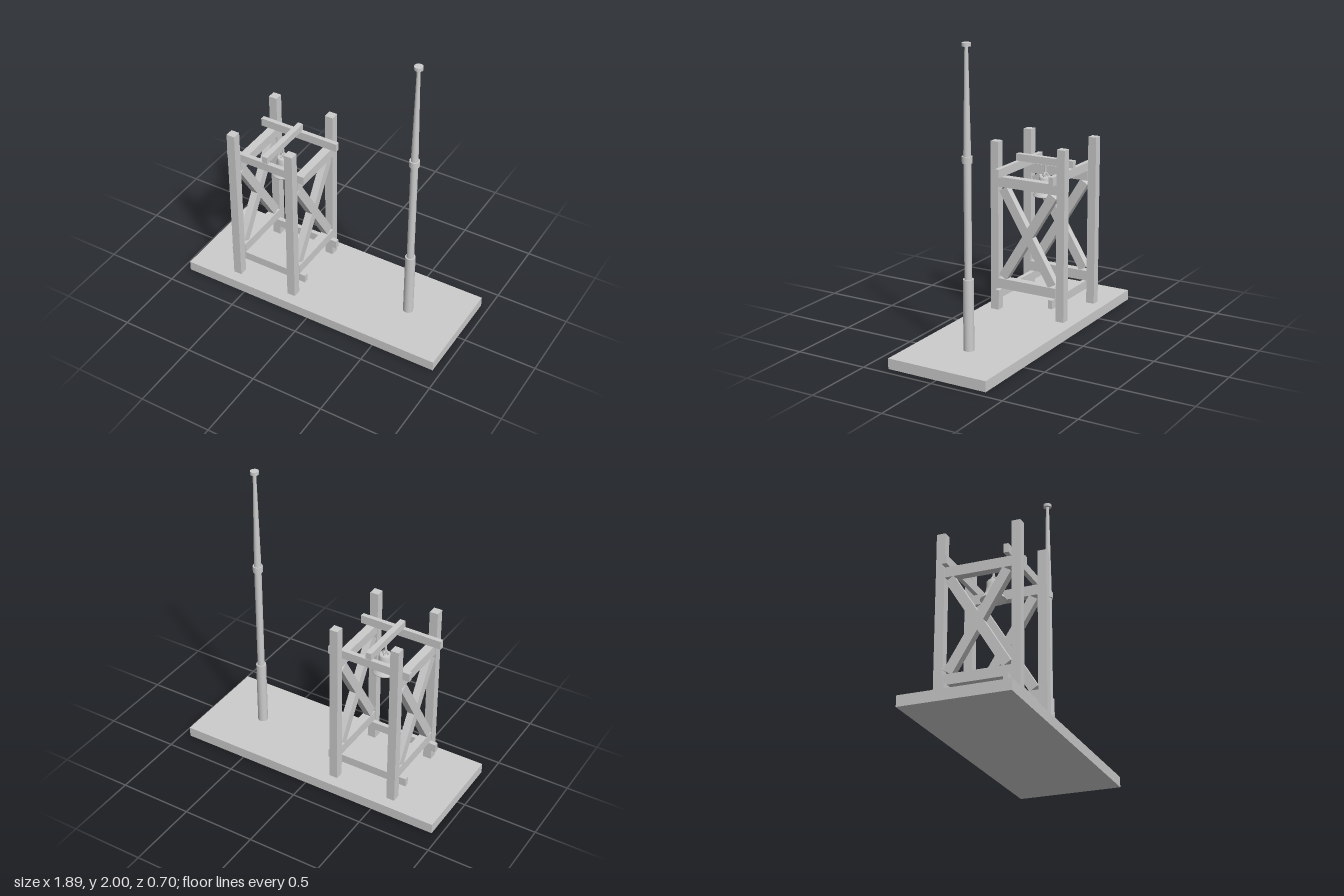
import * as THREE from 'three';

const material = new THREE.MeshStandardMaterial({ color: 0xcccccc, side: THREE.DoubleSide });

function add(parent, name, geometry, x = 0, y = 0, z = 0) {
  const mesh = new THREE.Mesh(geometry, material);
  mesh.name = name;
  mesh.position.set(x, y, z);
  parent.add(mesh);
  return mesh;
}

const box = (parent, name, w, h, d, x, y, z) =>
  add(parent, name, new THREE.BoxGeometry(w, h, d), x, y, z);

// Upright tapered tube section between two heights
function section(parent, name, rBottom, rTop, y0, y1) {
  add(parent, name, new THREE.CylinderGeometry(rTop, rBottom, y1 - y0, 32), 0, (y0 + y1) / 2, 0);
}

function createFrame() {
  const frame = new THREE.Group();
  frame.name = 'bellFrame';
  const half = 0.215;

  for (const side of [-1, 1]) {
    // Two corner posts on each side
    const x = side * half;
    for (const z of [-0.248, 0.248]) box(frame, 'post', 0.058, 1.16, 0.058, x, 0.65, z);

    // Ties running front to back between the posts
    const tieX = x + 0.004;
    box(frame, 'lowerTie', 0.058, 0.068, 0.44, tieX, 0.262, 0);
    box(frame, 'upperTie', 0.058, 0.068, 0.44, tieX, 0.963, 0);

    // Crossed braces
    const rise = 0.61, run = 0.375;
    for (const lean of [-1, 1]) {
      const brace = box(frame, 'crossBrace', 0.05, Math.hypot(rise, run), 0.064, x, 0.611, 0);
      brace.rotation.x = lean * Math.atan2(run, rise);
    }

    // Long rails along the front and back, inside the posts
    for (const y of [0.198, 1.027]) box(frame, 'rail', 0.58, 0.058, 0.031, 0, y, side * 0.202);
  }

  // Beam carrying the bell, resting on the upper rails
  box(frame, 'bellBeam', 0.038, 0.048, 0.432, 0, 1.081, 0);
  return frame;
}

function createBell() {
  const bell = new THREE.Group();
  bell.name = 'bell';
  // Hollow shell: outside from crown to lip, then back up the inside
  const profile = [
    [0, 0.974], [0.036, 0.973], [0.042, 0.966], [0.043, 0.94], [0.046, 0.91],
    [0.054, 0.885], [0.068, 0.865], [0.082, 0.848], [0.082, 0.842], [0.074, 0.842],
    [0.058, 0.868], [0.044, 0.89], [0.037, 0.92], [0.034, 0.958], [0, 0.962],
  ].map(([r, y]) => new THREE.Vector2(r, y)).reverse();
  add(bell, 'bellShell', new THREE.LatheGeometry(profile, 40));

  // Crown loops and hanger
  const loop = new THREE.TorusGeometry(0.021, 0.005, 8, 24);
  for (const turn of [0, Math.PI / 2]) add(bell, 'crownLoop', loop, 0, 0.978, 0).rotation.y = turn;
  add(bell, 'hanger', new THREE.CylinderGeometry(0.008, 0.008, 0.09, 12), 0, 1.015, 0);

  // Clapper
  add(bell, 'clapperRod', new THREE.CylinderGeometry(0.004, 0.004, 0.17, 10), 0, 0.88, 0);
  add(bell, 'clapperBall', new THREE.SphereGeometry(0.014, 16, 12), 0, 0.828, 0);
  add(bell, 'clapperTip', new THREE.CylinderGeometry(0.004, 0.003, 0.03, 10), 0, 0.807, 0);
  return bell;
}

function createPole() {
  const pole = new THREE.Group();
  pole.name = 'pole';
  section(pole, 'poleSleeve', 0.034, 0.034, 0.07, 0.535);
  section(pole, 'poleShaft', 0.024, 0.024, 0.535, 1.27);
  section(pole, 'poleCollar', 0.033, 0.033, 1.27, 1.312);
  section(pole, 'poleTop', 0.024, 0.011, 1.312, 1.98);
  section(pole, 'poleCap', 0.028, 0.028, 1.978, 2.0);
  return pole;
}

export function createModel() {
  const model = new THREE.Group();
  model.name = 'bellFrameAndPole';

  box(model, 'base', 1.89, 0.07, 0.704, 0, 0.035, 0);

  const frame = createFrame();
  const bell = createBell();
  frame.position.x = bell.position.x = -0.384;
  const pole = createPole();
  pole.position.x = 0.574;
  model.add(frame, bell, pole);
  return model;
}
